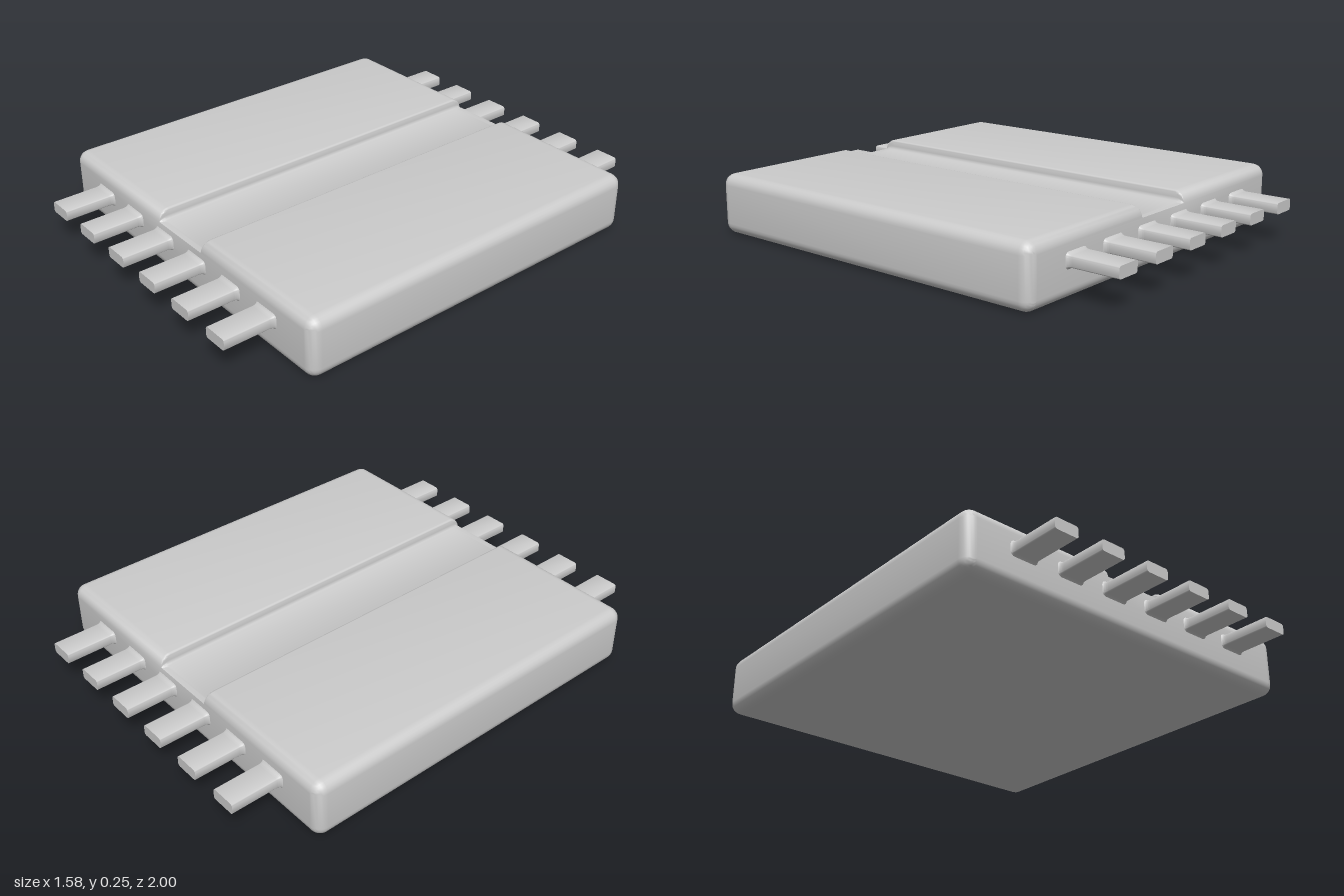
import * as THREE from 'three';
import { toCreasedNormals } from 'three/addons/utils/BufferGeometryUtils.js';

const W = 0.79, H = 0.245, R = 0.045; // body half width, height, edge radius
const FLOOR = H - R;                  // height of the channel floor

// points on an arc, angles in quarter turns
function arc(cx, cy, r, from, to, n) {
  return Array.from({ length: n + 1 }, (_, i) => {
    const a = (from + (to - from) * i / n) * Math.PI / 2;
    return [cx + r * Math.cos(a), cy + r * Math.sin(a)];
  });
}

// skin over counterclockwise sections [{ z, pts }] ordered from back to front, with end caps
function loft(sections) {
  const pos = [];
  const tri = (a, b, c) => {
    const va = new THREE.Vector3(...a), vb = new THREE.Vector3(...b), vc = new THREE.Vector3(...c);
    if (vb.sub(va).cross(vc.sub(va)).length() > 1e-9) pos.push(...a, ...b, ...c);
  };
  const rings = sections.map(s => s.pts.map(([x, y]) => [x, y, s.z]));
  const n = rings[0].length;
  for (let s = 0; s < rings.length - 1; s++) {
    for (let i = 0; i < n; i++) {
      const j = (i + 1) % n, A = rings[s], B = rings[s + 1];
      tri(A[i], A[j], B[j]);
      tri(A[i], B[j], B[i]);
    }
  }
  const cap = (ring, flip) => {
    const ys = ring.map(p => p[1]), xs = ring.map(p => p[0]);
    const c = [(Math.min(...xs) + Math.max(...xs)) / 2, (Math.min(...ys) + Math.max(...ys)) / 2, ring[0][2]];
    for (let i = 0; i < n; i++) {
      const j = (i + 1) % n;
      if (flip) tri(c, ring[j], ring[i]); else tri(c, ring[i], ring[j]);
    }
  };
  cap(rings[0], true);
  cap(rings[rings.length - 1], false);
  const g = new THREE.BufferGeometry();
  g.setAttribute('position', new THREE.Float32BufferAttribute(pos, 3));
  return toCreasedNormals(g, 0.6);
}

// body outline inset by d: rounded slab with a shallow channel in its top
function bodySection(d) {
  const x = W - R, r = R - d, k = r / R, top = FLOOR + r, g = 0.14;
  const lip = 0.012 * k, foot = 0.018 * k;
  const right = [
    ...arc(x, R, r, -1, 0, 6),
    ...arc(x, FLOOR, r, 0, 1, 6),
    ...arc(g + lip, top - lip, lip, 1, 2, 4),
    ...arc(g - foot, FLOOR + foot, foot, 0, -1, 4),
  ];
  return [...right, ...right.map(([px, py]) => [-px, py]).reverse()];
}

function bodyGeometry() {
  const front = Array.from({ length: 9 }, (_, i) => {
    const a = i / 8 * Math.PI / 2;
    return { z: W - R + R * Math.sin(a), pts: bodySection(R * (1 - Math.cos(a))) };
  });
  const back = front.map(s => ({ z: -s.z, pts: s.pts })).reverse();
  return loft([...back, ...front]);
}

// pin with rounded long edges and a small flare where it meets the body
function pinGeometry() {
  const w = 0.053, h = 0.023, r = 0.01;
  const section = grow => [[1, 1, 0], [-1, 1, 1], [-1, -1, 2], [1, -1, 3]].flatMap(([sx, sy, q]) =>
    arc(sx * (w - r), sy * (h - r), r + grow, q, q + 1, 4));
  return loft([[0.76, 0.008], [0.79, 0.008], [0.794, 0.004], [0.802, 0.001], [0.81, 0], [1, 0]]
    .map(([z, grow]) => ({ z, pts: section(grow) })));
}

export function createModel() {
  const group = new THREE.Group();
  const material = new THREE.MeshStandardMaterial({ color: 0xcccccc });

  // slab with channel
  const body = new THREE.Mesh(bodyGeometry(), material);
  body.name = 'body';
  group.add(body);

  // six pins on the front and six on the back
  const pin = pinGeometry();
  for (const side of ['front', 'back']) {
    for (let i = 0; i < 6; i++) {
      const mesh = new THREE.Mesh(pin, material);
      mesh.name = `${side}Pin${i + 1}`;
      mesh.position.set(-0.541 + i * 0.2152, 0.143, 0);
      if (side === 'back') mesh.rotation.y = Math.PI;
      group.add(mesh);
    }
  }
  return group;
}
